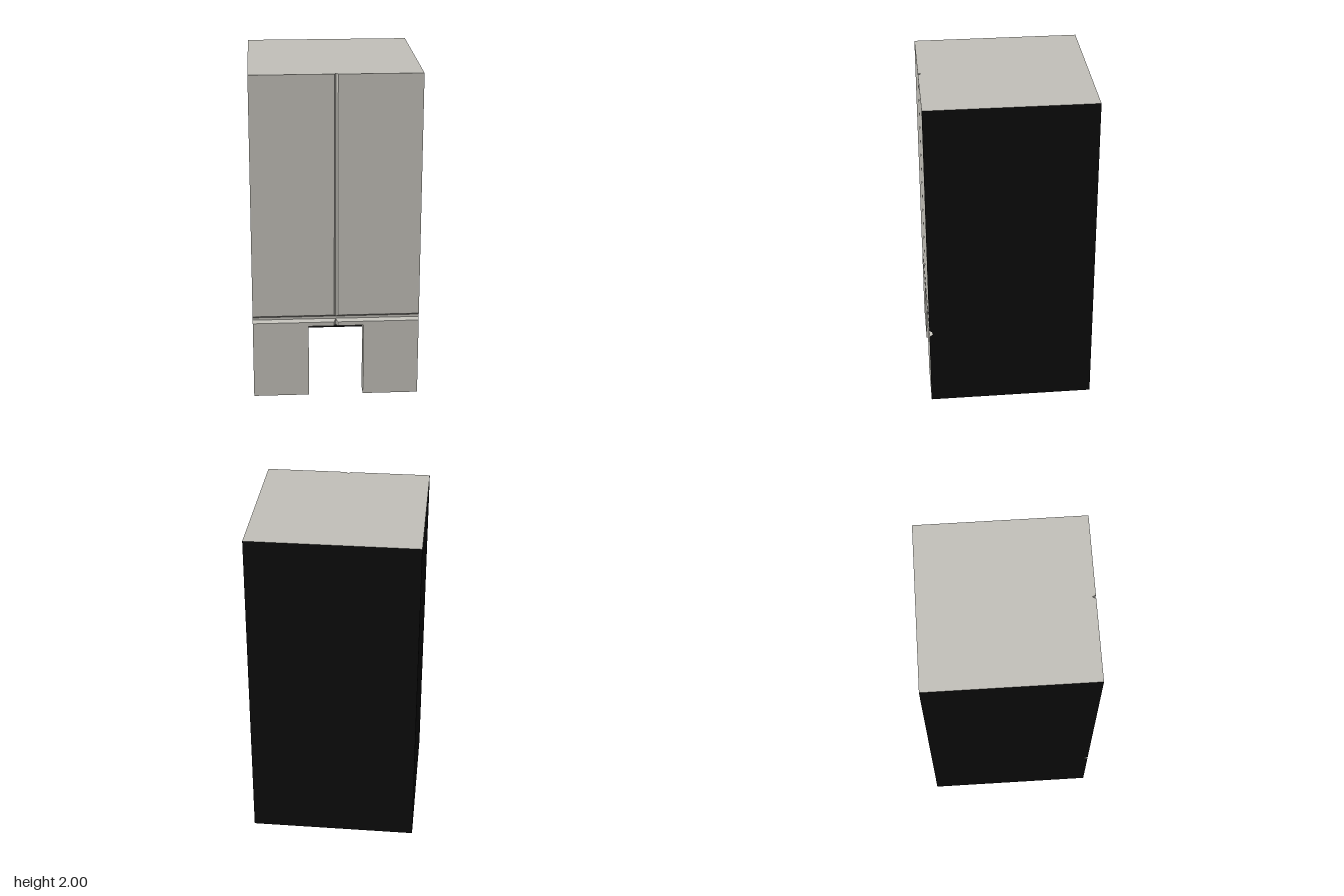
import * as THREE from 'three';

const HALF = 0.5, HEIGHT = 2, DEPTH = 0.48;          // half width, height, groove floor z
const DOOR_X = 0.165, DOOR_Y = 0.455, INNER_Z = 0.41; // doorway and inner face of the front wall
const V_HALF = 0.011;                                 // half width of the vertical groove

// Front profile [y, z] with the horizontal groove
const groove = [[0.48, 0.5], [0.495, DEPTH], [0.51, DEPTH], [0.525, 0.5]];
const profile = [[DOOR_Y, 0.5], ...groove, [0.61, 0.5], [HEIGHT, 0.5]];

// Mesh from quads of corners, mirrored to both sides of x = 0
function mirroredQuads(name, quads, material) {
  const pos = [];
  for (const [a, b, c, d] of quads) {
    for (const p of [a, b, c, a, c, d]) pos.push(...p);
    for (const [x, y, z] of [a, c, b, a, d, c]) pos.push(-x, y, z);
  }
  const g = new THREE.BufferGeometry();
  g.setAttribute('position', new THREE.Float32BufferAttribute(pos, 3));
  g.computeVertexNormals();
  const mesh = new THREE.Mesh(g, material);
  mesh.name = name;
  return mesh;
}

function flatShape(name, points, material) {
  const shape = new THREE.Shape(points.map(([x, y]) => new THREE.Vector2(x, y)));
  const mesh = new THREE.Mesh(new THREE.ShapeGeometry(shape), material);
  mesh.name = name;
  return mesh;
}

export function createModel() {
  const group = new THREE.Group();
  const side = THREE.DoubleSide;
  const stone = new THREE.MeshStandardMaterial({ color: 0xc3c1ba, side });
  stone.name = 'pale stone';
  const black = new THREE.MeshStandardMaterial({ color: 0x0c0c0c, side });
  black.name = 'black';

  // Front panels, narrowing into the V groove
  const seam = (z) => V_HALF * (z - DEPTH) / (0.5 - DEPTH);
  const panels = [[[DOOR_X, 0, 0.5], [HALF, 0, 0.5], [HALF, DOOR_Y, 0.5], [DOOR_X, DOOR_Y, 0.5]]];
  const vGroove = [];
  for (let i = 0; i < profile.length - 1; i++) {
    const [y0, z0] = profile[i], [y1, z1] = profile[i + 1];
    const s0 = seam(z0), s1 = seam(z1);
    panels.push([[s0, y0, z0], [HALF, y0, z0], [HALF, y1, z1], [s1, y1, z1]]);
    vGroove.push([[0, y0, DEPTH], [s0, y0, z0], [s1, y1, z1], [0, y1, DEPTH]]);
  }
  group.add(mirroredQuads('frontPanels', panels, stone));
  group.add(mirroredQuads('verticalGroove', vGroove, stone));

  // Doorway jambs, lintel underside and feet of the front wall
  group.add(mirroredQuads('doorway', [
    [[DOOR_X, 0, INNER_Z], [DOOR_X, 0, 0.5], [DOOR_X, DOOR_Y, 0.5], [DOOR_X, DOOR_Y, INNER_Z]],
    [[0, DOOR_Y, INNER_Z], [DOOR_X, DOOR_Y, INNER_Z], [DOOR_X, DOOR_Y, DEPTH], [0, DOOR_Y, DEPTH]],
    [[0, DOOR_Y, DEPTH], [DOOR_X, DOOR_Y, DEPTH], [DOOR_X, DOOR_Y, 0.5], [V_HALF, DOOR_Y, 0.5]],
    [[DOOR_X, 0, INNER_Z], [0.41, 0, INNER_Z], [HALF, 0, 0.5], [DOOR_X, 0, 0.5]],
  ], stone));

  // Inner face of the front wall, with sloping margins
  const edge = (y) => [0.41 - 0.07 * y / 0.61, y, INNER_Z];
  const peak = [0, 0.75, INNER_Z], shoulder = edge(0.61);
  group.add(mirroredQuads('innerPanel', [
    [edge(0), [DOOR_X, 0, INNER_Z], [DOOR_X, DOOR_Y, INNER_Z], edge(DOOR_Y)],
    [edge(DOOR_Y), [0, DOOR_Y, INNER_Z], [0, 0.61, INNER_Z], shoulder],
    [shoulder, [0, 0.61, INNER_Z], peak, peak],
  ], stone));
  const outline = [[0, 0.5], ...profile.slice(0, -1)];
  const margins = outline.slice(1).map(([y1, z1], i) => {
    const [y0, z0] = outline[i];
    return [[HALF, y0, z0], edge(y0), edge(y1), [HALF, y1, z1]];
  });
  margins.push([[HALF, 0.61, 0.5], shoulder, [HALF, HEIGHT, 0.5], [HALF, HEIGHT, 0.5]]);
  margins.push([shoulder, peak, [0, HEIGHT, DEPTH], [HALF, HEIGHT, 0.5]]);
  group.add(mirroredQuads('innerMargins', margins, stone));

  // Top with the notch of the vertical groove
  const top = flatShape('top', [[-HALF, -0.5], [-V_HALF, -0.5], [0, -DEPTH], [V_HALF, -0.5],
    [HALF, -0.5], [HALF, 0.5], [-HALF, 0.5]], stone);
  top.rotation.x = -Math.PI / 2;
  top.position.y = HEIGHT;
  group.add(top);

  // Side walls with the notch of the horizontal groove
  for (const s of [-1, 1]) {
    const wall = flatShape(s > 0 ? 'leftWall' : 'rightWall',
      [[0.5, 0], [0.5, HEIGHT], [-0.5, HEIGHT], [-0.5, 0]].toSpliced(1, 0, ...groove.map(([y, z]) => [z, y]))
        .map(([z, y]) => [-s * z, y]), black);
    wall.rotation.y = s * Math.PI / 2;
    wall.position.x = s * HALF;
    group.add(wall);
  }

  // Back wall
  const back = new THREE.Mesh(new THREE.PlaneGeometry(1, HEIGHT), black);
  back.name = 'backWall';
  back.rotation.y = Math.PI;
  back.position.set(0, HEIGHT / 2, -0.5);
  group.add(back);
  return group;
}
